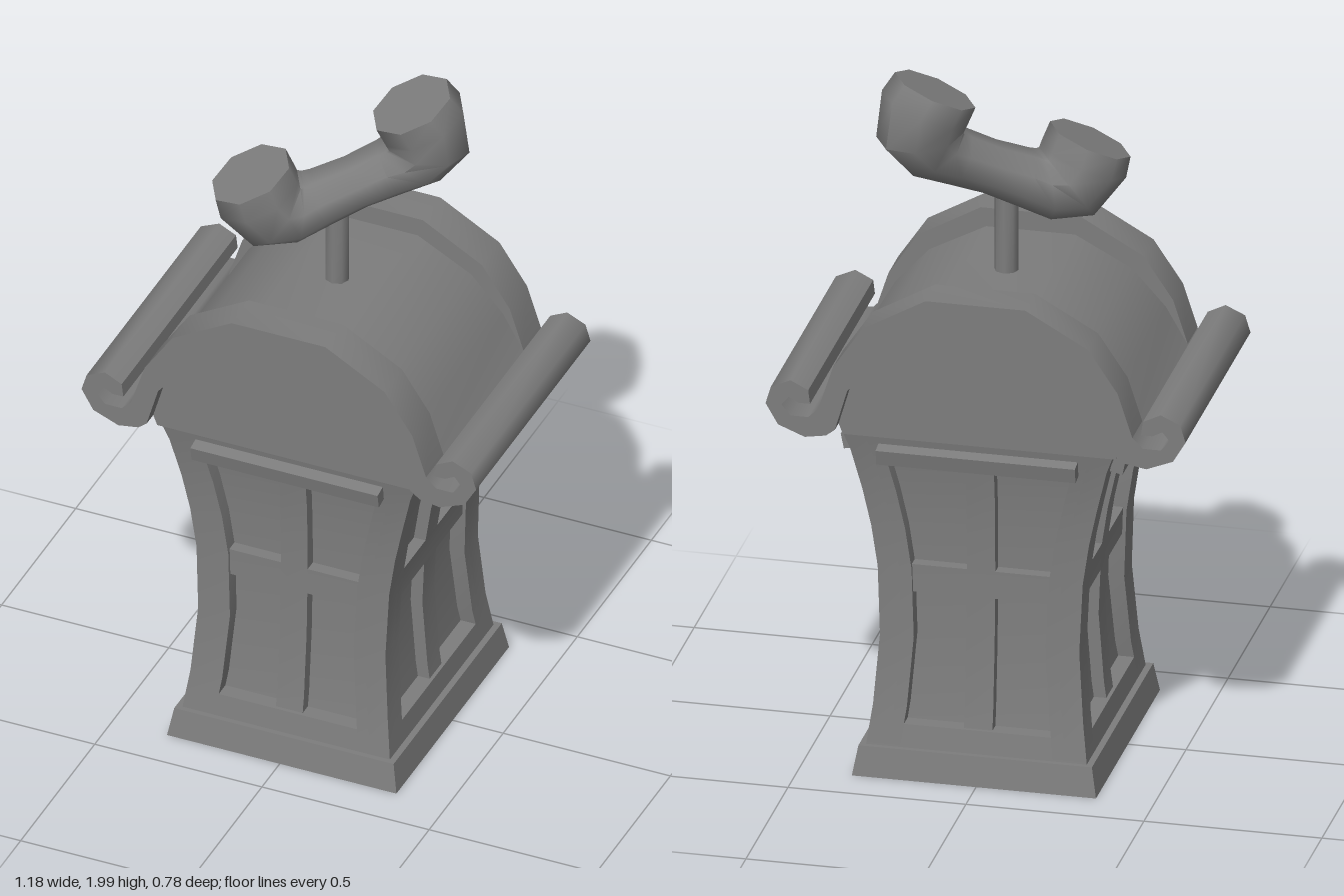
import * as THREE from 'three';
import { toCreasedNormals } from 'three/addons/utils/BufferGeometryUtils.js';

const mat = new THREE.MeshStandardMaterial({ color: 0x7d7d7d, side: THREE.DoubleSide });

function add(parent, name, geometry, crease = 0.6) {
  const geo = geometry.index ? geometry.toNonIndexed() : geometry;
  const mesh = new THREE.Mesh(toCreasedNormals(geo, crease), mat);
  mesh.name = name;
  parent.add(mesh);
  return mesh;
}

// Skin a list of rings (arrays of [x, y, z]), with optional end caps.
function loft(rings, capStart = true, capEnd = true) {
  const n = rings[0].length;
  const pos = rings.flat(2);
  const index = [];
  for (let r = 0; r < rings.length - 1; r++) {
    for (let i = 0; i < n; i++) {
      const a = r * n + i, b = r * n + (i + 1) % n;
      index.push(a, b, b + n, a, b + n, a + n);
    }
  }
  const last = (rings.length - 1) * n;
  for (let i = 1; i < n - 1; i++) {
    if (capStart) index.push(0, i + 1, i);
    if (capEnd) index.push(last, last + i, last + i + 1);
  }
  const geo = new THREE.BufferGeometry();
  geo.setAttribute('position', new THREE.Float32BufferAttribute(pos, 3));
  geo.setIndex(index);
  return geo;
}

const rect = (y, x0, x1, z0, z1) => [[x1, y, z1], [x1, y, z0], [x0, y, z0], [x0, y, z1]];

// Curved body outline: height, half width, half depth
const BODY = [
  [0.085, 0.31, 0.35], [0.2, 0.295, 0.33], [0.4, 0.28, 0.312], [0.6, 0.288, 0.305],
  [0.72, 0.306, 0.306], [0.83, 0.33, 0.311], [0.95, 0.36, 0.325], [1.03, 0.39, 0.34],
];

function bodyAt(y, k) {
  let i = 0;
  while (i < BODY.length - 2 && y > BODY[i + 1][0]) i++;
  const a = BODY[i], b = BODY[i + 1];
  return THREE.MathUtils.lerp(a[k], b[k], (y - a[0]) / (b[0] - a[0]));
}

// Strip that follows the curve of one wall
function wallStrip(y0, y1, left, right, out, depth) {
  const ys = [y0, ...BODY.map((r) => r[0]).filter((y) => y > y0 + 0.005 && y < y1 - 0.005), y1];
  return loft(ys.map((y) => rect(y, left(y), right(y), out(y) - depth, out(y))));
}

// One wall: frame, window bars and lintel, facing +z before it is turned
function makeWall(name, kW, kD, margin, lintelHalf) {
  const wall = new THREE.Group();
  wall.name = name;
  const W = (y) => bodyAt(y, kW), D = (y) => bodyAt(y, kD);
  const P = (y) => W(y) - margin;
  const neg = (f) => (y) => -f(y);
  const barFace = (y) => D(y) - 0.01;
  const bar = () => 0.04;
  add(wall, 'frameStile', wallStrip(0.085, 1.03, P, W, D, 0.06));
  add(wall, 'frameStile', wallStrip(0.085, 1.03, neg(W), neg(P), D, 0.06));
  add(wall, 'bottomRail', wallStrip(0.085, 0.15, neg(P), P, D, 0.06));
  add(wall, 'topRail', wallStrip(0.94, 1.03, neg(P), P, D, 0.06));
  add(wall, 'uprightBar', wallStrip(0.15, 0.94, neg(bar), bar, barFace, 0.05));
  add(wall, 'crossBar', wallStrip(0.53, 0.61, neg(P), P, barFace, 0.05));
  const lintel = add(wall, 'lintel', new THREE.BoxGeometry(lintelHalf * 2, 0.045, 0.065));
  lintel.position.set(0, 0.953, D(0.95) + 0.004);
  lintel.rotation.x = 0.2;
  return wall;
}

// Mirror a half outline (top centre to bottom) into a closed shape
function mirroredShape(half) {
  const pts = [...half, ...half.slice().reverse().map(([x, y]) => [-x, y])];
  return new THREE.Shape(pts.map(([x, y]) => new THREE.Vector2(x, y)));
}

function extrude(shape, z0, z1) {
  return new THREE.ExtrudeGeometry(shape, { depth: z1 - z0, bevelEnabled: false }).translate(0, 0, z0);
}

const SCROLL = [
  [0.47, 1.06], [0.52, 1.06], [0.545, 1.09], [0.525, 1.115], [0.497, 1.1], [0.465, 1.1],
  [0.47, 1.14], [0.52, 1.165], [0.575, 1.14], [0.59, 1.09], [0.555, 1.03], [0.48, 1.0],
  [0.42, 1.01], [0.395, 1.03],
];
const INNER_ARCH = [[0.36, 1.15], [0.25, 1.28], [0.12, 1.345]];

function makeRoof() {
  const roof = new THREE.Group();
  roof.name = 'roof';
  // Full-length roof sheet, curled at both eaves
  const sheet = [[0.125, 1.385], [0.285, 1.3], [0.38, 1.195], [0.44, 1.09]];
  add(roof, 'roofSheet', extrude(mirroredShape([...sheet, ...SCROLL, ...INNER_ARCH]), -0.386, 0.386), 0.9);
  // Raised arches over both ends
  const arch = [[0.14, 1.44], [0.317, 1.34], [0.4, 1.217], [0.441, 1.09], [0.395, 1.03]];
  const archShape = mirroredShape([...arch, ...INNER_ARCH]);
  add(roof, 'frontArch', extrude(archShape, 0.27, 0.388), 0.9);
  add(roof, 'backArch', extrude(archShape, -0.388, -0.27), 0.9);
  const gable = mirroredShape([...INNER_ARCH.slice().reverse(), [0.395, 1.03], [0.383, 1.0]]);
  add(roof, 'gableWalls', extrude(gable, -0.342, 0.342));
  return roof;
}

// Handset swept through a bent path: [along, up, bend angle, half thickness, half width]
function makeHandset() {
  const half = [
    [-0.243, 0, -Math.PI / 2, 0.12, 0.122],
    [-0.25, -0.06, -Math.PI / 2, 0.126, 0.128],
    [-0.23, -0.135, -Math.PI / 3, 0.12, 0.122],
    [-0.17, -0.162, -Math.PI / 6, 0.098, 0.108],
    [-0.1, -0.16, 0, 0.08, 0.095],
  ];
  const path = [...half, [0, -0.16, 0, 0.074, 0.09],
    ...half.slice().reverse().map(([s, t, a, r, w]) => [-s, t, -a, r, w])];
  const sides = 8;
  const rings = path.map(([s, t, a, r, w]) => Array.from({ length: sides }, (_, i) => {
    const q = ((i + 0.5) / sides) * Math.PI * 2;
    const c = Math.cos(q) * r;
    return [s - Math.sin(a) * c, t + Math.cos(a) * c, Math.sin(q) * w];
  }));
  const handset = new THREE.Group();
  handset.name = 'handset';
  add(handset, 'receiver', loft(rings), 1.0);
  const along = new THREE.Vector3(0.41, 0.215, -0.235).normalize();
  const side = new THREE.Vector3().crossVectors(along, new THREE.Vector3(0, 1, 0)).normalize();
  const up = new THREE.Vector3().crossVectors(side, along);
  handset.quaternion.setFromRotationMatrix(new THREE.Matrix4().makeBasis(along, up, side));
  handset.position.set(-0.012, 1.845, 0.006);
  return handset;
}

export function createModel() {
  const model = new THREE.Group();
  model.name = 'phoneBooth';
  const booth = new THREE.Group();
  booth.name = 'booth';
  booth.position.x = 0.006;
  model.add(booth);

  // Plinth, hollow underneath
  const plinth = [[0, 0.343, 0.38], [0.085, 0.328, 0.365]];
  add(booth, 'plinth', loft(plinth.map(([y, x, z]) => rect(y, -x, x, -z, z)), false, true));

  // Recessed window panels
  const inset = 0.045;
  add(booth, 'panels', loft(BODY.map(([y, x, z]) => rect(y, inset - x, x - inset, inset - z, z - inset))));

  // Four framed walls
  ['frontWall', 'leftWall', 'backWall', 'rightWall'].forEach((name, i) => {
    const wall = i % 2 ? makeWall(name, 2, 1, 0.09, 0.27) : makeWall(name, 1, 2, 0.095, 0.28);
    wall.rotation.y = (i * Math.PI) / 2;
    booth.add(wall);
  });

  model.add(makeRoof());

  // Pole carrying the handset
  const pole = add(model, 'pole', new THREE.CylinderGeometry(0.034, 0.034, 0.3, 8), 0.9);
  pole.position.set(0.004, 1.5, 0);
  model.add(makeHandset());
  return model;
}
